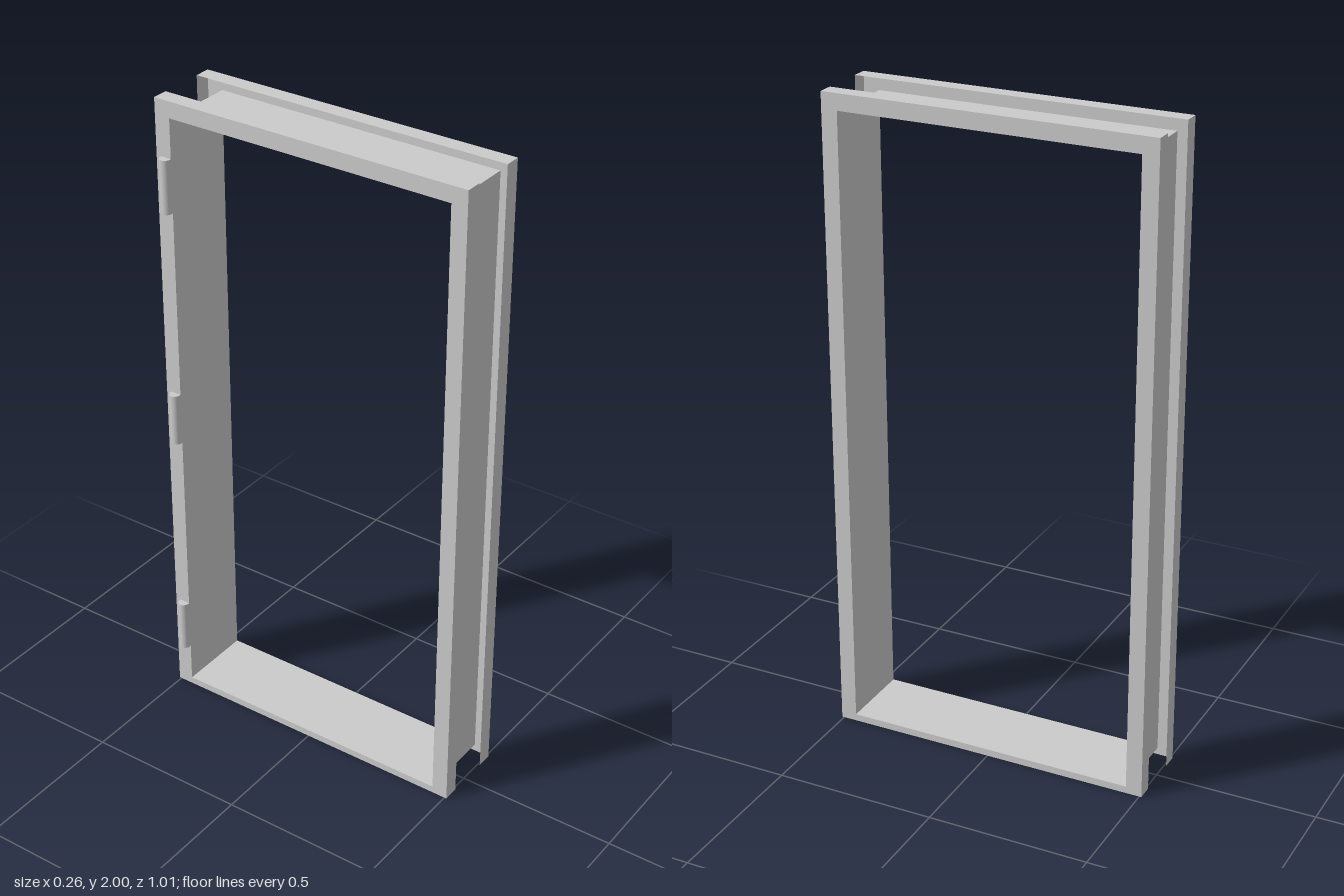
import * as THREE from 'three';

// Folded sheet-metal door frame: open channel section, hinge barrels on one side
const HEIGHT = 2, HALF = 0.507;               // outer size
const IN_HALF = 0.457, SILL = 0.022, HEAD = 1.95; // opening
const X0 = -0.108, X1 = 0.13, LIP = 0.05;     // frame depth and width of the folded lips

const sheet = new THREE.MeshStandardMaterial({ color: 0xcccccc, side: THREE.DoubleSide });
const solid = new THREE.MeshStandardMaterial({ color: 0xcccccc });

export function createModel() {
  const model = new THREE.Group();
  const add = (name, geometry, material = sheet) => {
    const mesh = new THREE.Mesh(geometry, material);
    mesh.name = name;
    model.add(mesh);
    return mesh;
  };
  const width = X1 - X0, midX = (X0 + X1) / 2;

  // upright sheet facing +z or -z
  const upright = (name, xa, xb, ya, yb, z) =>
    add(name, new THREE.PlaneGeometry(xb - xa, yb - ya).rotateY(z < 0 ? Math.PI : 0))
      .position.set((xa + xb) / 2, (ya + yb) / 2, z);
  // level sheet
  const level = (name, x, w, y, length) =>
    add(name, new THREE.PlaneGeometry(w, length).rotateX(-Math.PI / 2)).position.set(x, y, 0);

  // flat face borders on both sides of the wall
  const border = new THREE.Shape();
  border.moveTo(-HALF, 0).lineTo(HALF, 0).lineTo(HALF, HEIGHT).lineTo(-HALF, HEIGHT).closePath();
  const opening = new THREE.Path();
  opening.moveTo(-IN_HALF, SILL).lineTo(-IN_HALF, HEAD).lineTo(IN_HALF, HEAD).lineTo(IN_HALF, SILL).closePath();
  border.holes.push(opening);
  for (const [side, x] of [[-1, X0], [1, X1]]) {
    const geometry = new THREE.ShapeGeometry(border).rotateY(side * Math.PI / 2);
    add(side < 0 ? 'rightFace' : 'leftFace', geometry).position.x = x;
    // lips folded back from the face, along the posts and the head
    const a = side < 0 ? X0 : X1 - LIP, b = a + LIP;
    for (const z of [-HALF, HALF]) upright('postLip', a, b, 0, HEIGHT, z);
    level('headLip', (a + b) / 2, LIP, HEIGHT, HALF * 2);
  }

  // lining of the opening
  for (const z of [-IN_HALF, IN_HALF]) upright('postLining', X0, X1, SILL, HEAD, z);
  level('headLining', midX, width, HEAD, IN_HALF * 2);
  level('sill', midX, width, SILL, IN_HALF * 2);

  // hinge barrels: D-shaped section with the round side outwards
  const r = 0.017, cx = -0.113;
  const section = new THREE.Shape();
  section.moveTo(X0, -r).lineTo(X0, r).lineTo(cx, r);
  section.absarc(cx, 0, r, Math.PI / 2, Math.PI * 1.5, false);
  section.closePath();
  for (const y of [0.148, 0.905, 1.662]) {
    const geometry = new THREE.ExtrudeGeometry(section, { depth: 0.166, bevelEnabled: false, curveSegments: 12 });
    add('hinge', geometry.rotateX(-Math.PI / 2), solid).position.set(0, y, -0.474);
  }
  return model;
}
